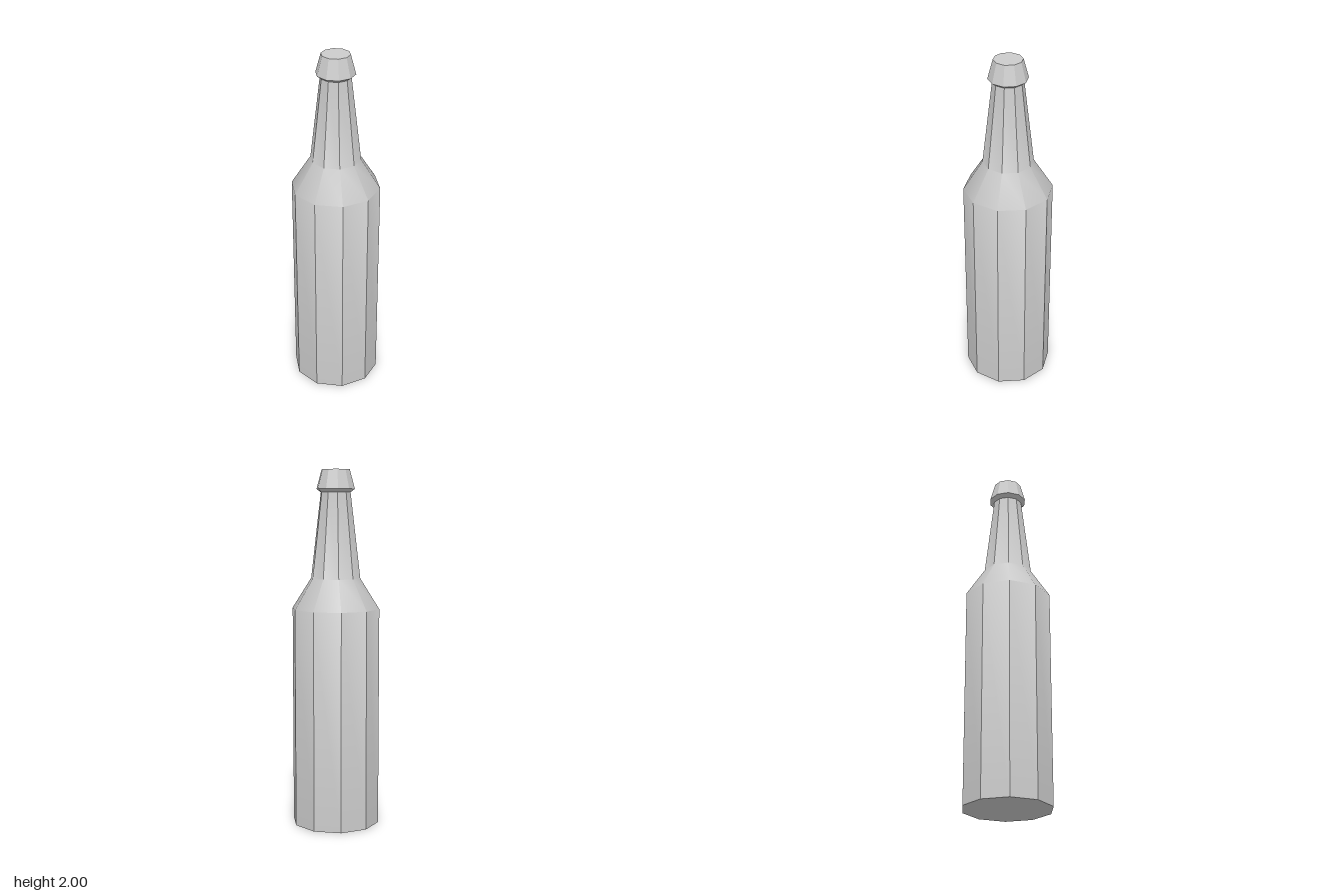
import * as THREE from 'three';
import { toCreasedNormals } from 'three/addons/utils/BufferGeometryUtils.js';

const SIDES = 10;
const CREASE = THREE.MathUtils.degToRad(33);

// Ten-sided turned part with a corner on the x axis; profile is [radius, y] from bottom to top
function turned(name, profile, material) {
  const points = profile.map(([r, y]) => new THREE.Vector2(r, y));
  const lathe = new THREE.LatheGeometry(points, SIDES, Math.PI / 2);
  const mesh = new THREE.Mesh(toCreasedNormals(lathe, CREASE), material);
  mesh.name = name;
  return mesh;
}

export function createModel() {
  const group = new THREE.Group();
  group.name = 'bottle';
  const grey = new THREE.MeshStandardMaterial({ color: 0xcccccc, side: THREE.DoubleSide });

  // Base, straight body, sloping shoulder and tapered neck
  group.add(turned('bodyAndNeck', [
    [0, 0], [0.248, 0], [0.248, 1.23], [0.14, 1.4], [0.084, 1.875],
  ], grey));

  // Flared cap with a bevelled underside and a flat top
  group.add(turned('cap', [
    [0.084, 1.875], [0.108, 1.893], [0.079, 2], [0, 2],
  ], grey));

  return group;
}
